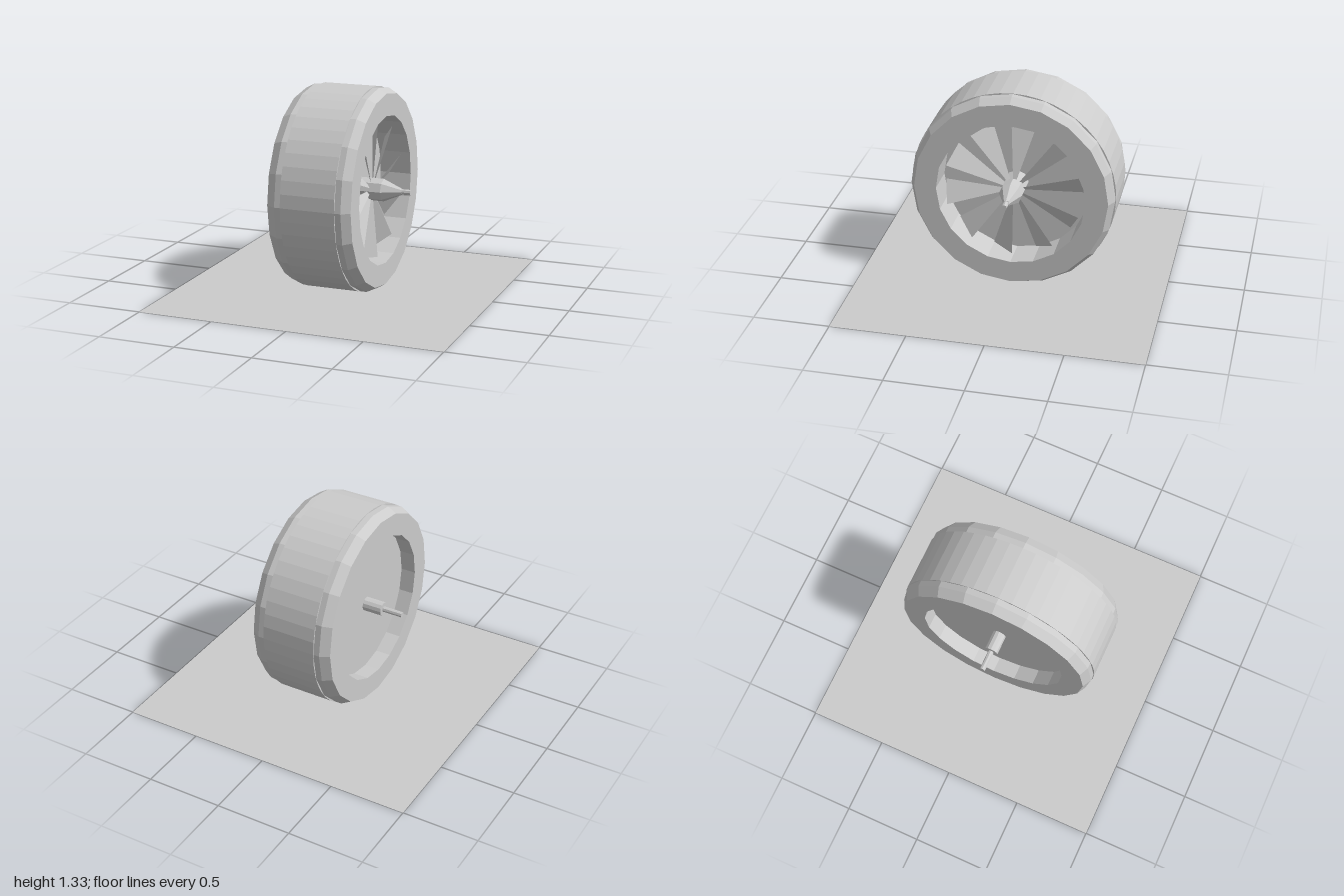
import * as THREE from 'three';

const AXLE_HEIGHT = 0.667;

export function createModel() {
  const model = new THREE.Group();
  const flat = new THREE.MeshStandardMaterial({ color: 0xcccccc, flatShading: true });
  const thin = new THREE.MeshStandardMaterial({ color: 0xcccccc, flatShading: true, side: THREE.DoubleSide });

  const wheel = new THREE.Group();
  wheel.name = 'wheel';
  wheel.position.y = AXLE_HEIGHT;
  model.add(wheel);

  function add(parent, name, geometry, material = flat) {
    const mesh = new THREE.Mesh(geometry, material);
    mesh.name = name;
    parent.add(mesh);
    return mesh;
  }

  // Turned part around the x axis; profile points are [radius, x] from low x to high x
  function turned(name, profile, sides, material) {
    const points = profile.map(([r, x]) => new THREE.Vector2(r, x));
    return add(wheel, name, new THREE.LatheGeometry(points, sides).rotateZ(-Math.PI / 2), material);
  }

  // Ground sheet
  add(model, 'ground sheet', new THREE.PlaneGeometry(2, 2).rotateX(-Math.PI / 2), thin);

  // Tyre with chamfered shoulders and a recess on each side
  turned('tyre', [
    [0, -0.18], [0.487, -0.18], [0.487, -0.28], [0.632, -0.28], [0.664, -0.22],
    [0.664, 0.22], [0.632, 0.275], [0.487, 0.275], [0.487, 0.06], [0, 0.06],
  ], 20);

  // Finer tread band around the middle
  turned('tread band', [[0.655, -0.18], [0.667, -0.18], [0.667, 0.18], [0.655, 0.18]], 48);

  // Outer hub with cone and the shaft tip
  turned('hub cone', [
    [0.075, 0.06], [0.075, 0.26], [0.02, 0.385], [0.018, 0.385], [0.018, 0.443], [0, 0.443],
  ], 8);

  // Inner hub and axle
  turned('inner hub', [[0, -0.31], [0.045, -0.31], [0.045, -0.18]], 12);
  turned('axle', [[0, -0.445], [0.018, -0.445], [0.018, -0.31]], 8);

  // Ten tilted wedge blades, angles clockwise from the top as seen from +x
  const rim = (degrees, x) => {
    const a = THREE.MathUtils.degToRad(degrees);
    return [x, 0.454 * Math.cos(a), -0.454 * Math.sin(a)];
  };
  const blades = new THREE.Group();
  blades.name = 'blades';
  wheel.add(blades);
  for (let i = 0; i < 10; i++) {
    const corners = [0.18, 0, 0, ...rim(i * 36 + 18, 0.13), ...rim(i * 36, 0.22)];
    const geometry = new THREE.BufferGeometry();
    geometry.setAttribute('position', new THREE.Float32BufferAttribute(corners, 3));
    geometry.computeVertexNormals();
    if (geometry.attributes.normal.getX(0) < 0) {
      geometry.setIndex([0, 2, 1]);
      geometry.computeVertexNormals();
    }
    add(blades, 'blade', geometry, thin);
  }

  return model;
}
